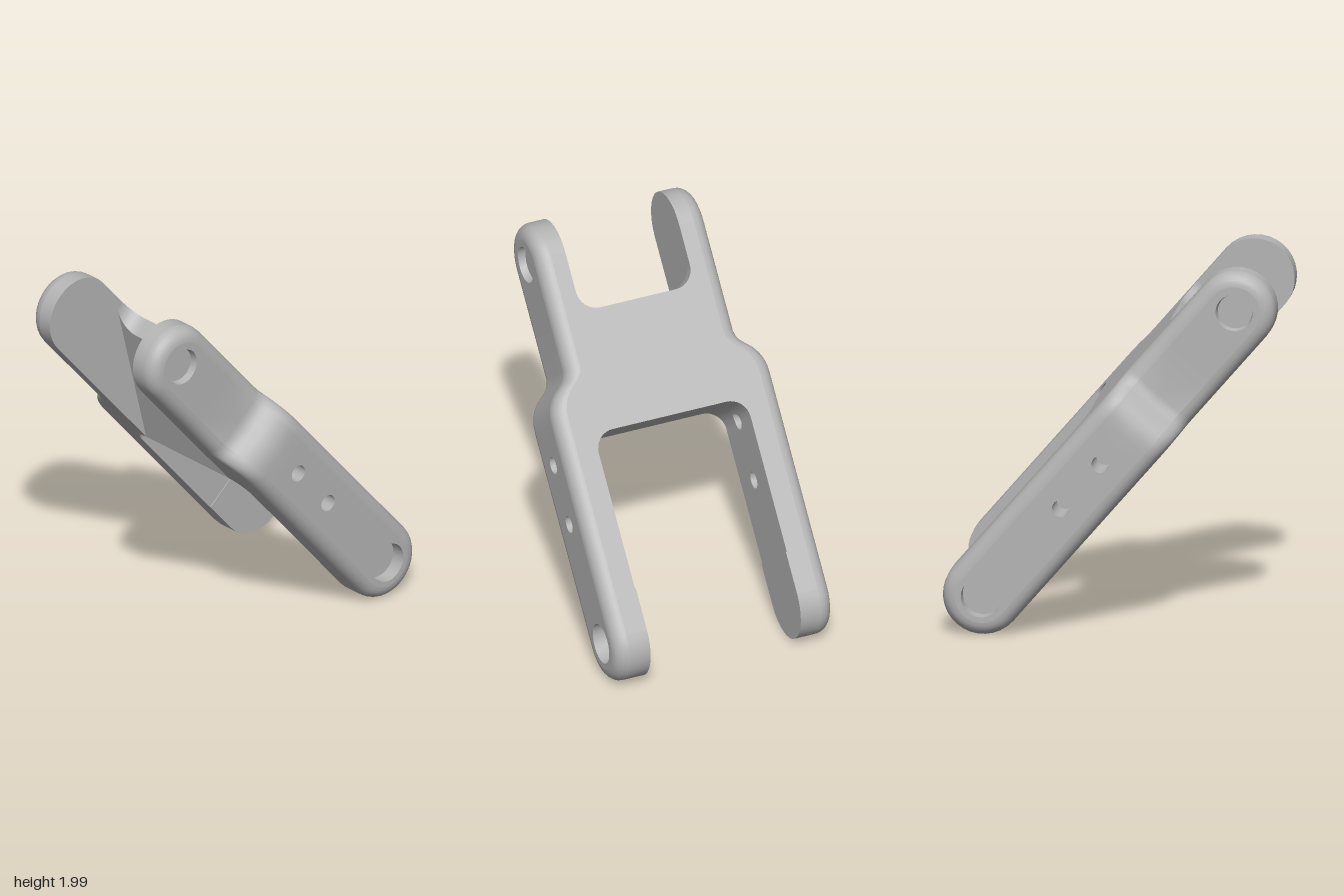
import * as THREE from 'three';
import { mergeGeometries, toCreasedNormals } from 'three/addons/utils/BufferGeometryUtils.js';

// Local frame: y runs along the link, x across its thickness, z to the side.
const L = 1.03, R = 0.215, EDGE = 0.075;       // pivot half distance, end radius, edge rounding
const FORK = 0.053, SLOT = 0.70, F = 0.11;     // floors of the lower and upper slots, corner fillet
const ARC = 16;
const SHOULDER = [[0.15, 0.63], [0.20, 0.627], [0.24, 0.617], [0.275, 0.60], [0.31, 0.573],
  [0.345, 0.533], [0.365, 0.512], [0.39, 0.497], [0.42, 0.49]];
const BOLTS = [{ c: -0.046, r: 0.047 }, { c: -0.372, r: 0.047 }];
const PIVOTS = [{ c: -1.03, r: 0.11, floor: 0.11, depth: 0.08 }, { c: 1.03, r: 0.10, floor: 0.093, depth: 0.04 }];

// Outer side height along the link, stepping in at the shoulder
function outerZ(y) {
  if (y <= SHOULDER[0][0]) return SHOULDER[0][1];
  for (let i = 1; i < SHOULDER.length; i++) {
    const [y0, z0] = SHOULDER[i - 1], [y1, z1] = SHOULDER[i];
    if (y <= y1) return z0 + (z1 - z0) * (y - y0) / (y1 - y0);
  }
  return 0.49;
}
// Inner faces of the lower fork arm and the upper slot arm
function lowerZ(y) {
  if (y < -0.8) return 0.435;
  if (y <= FORK - F) return 0.44;
  return 0.33 + Math.sqrt(Math.max(0, F * F - (y - FORK + F) ** 2));
}
function upperZ(y) {
  if (y >= SLOT + F) return 0.33;
  return 0.33 - F + Math.sqrt(Math.max(0, F * F - (SLOT + F - y) ** 2));
}
const slant = (y) => -R + (y - FORK) * 0.502;   // sloping underside of the web
const halfWidth = (y, rho) => {
  const d = Math.max(0, Math.abs(y) - L);
  return Math.sqrt(Math.max(0, rho * rho - d * d));
};
const gap = (y, holes) => holes.reduce((g, h) =>
  Math.max(g, Math.sqrt(Math.max(0, h.r * h.r - (y - h.c) ** 2))), 0);

const steps = (n, f) => Array.from({ length: n + 1 }, (_, i) => f(i / n));
const sorted = (list) => [...new Set(list.map((v) => Math.round(v * 1e6) / 1e6))].sort((a, b) => a - b);
const holeColumns = (holes) => holes.flatMap((h) => steps(12, (k) => h.c - h.r * Math.cos(k * Math.PI)));
const endColumns = (rho) => steps(ARC / 2, (k) => L + rho * Math.sin(k * Math.PI / 2));

// Surface through rows of points; each triangle is turned towards the given direction
function sheet(rows, facing) {
  const pos = [], a = new THREE.Vector3(), b = new THREE.Vector3(), c = new THREE.Vector3();
  const tri = (p, q, s) => {
    a.set(...p); b.set(...q).sub(a); c.set(...s).sub(a);
    const n = b.clone().cross(c);
    if (n.length() < 1e-9) return;
    const d = typeof facing === 'function' ? facing(p) : facing;
    if (n.dot(new THREE.Vector3(...d)) < 0) pos.push(...p, ...s, ...q);
    else pos.push(...p, ...q, ...s);
  };
  for (let i = 0; i + 1 < rows.length; i++) {
    for (let j = 0; j + 1 < rows[i].length; j++) {
      tri(rows[i][j], rows[i + 1][j], rows[i + 1][j + 1]);
      tri(rows[i][j], rows[i + 1][j + 1], rows[i][j + 1]);
    }
  }
  const g = new THREE.BufferGeometry();
  g.setAttribute('position', new THREE.Float32BufferAttribute(pos, 3));
  return toCreasedNormals(g, 0.7);
}
const strip = (path, lo, hi, facing) =>
  sheet(path.map(([y, z]) => [[lo(y), y, z], [hi(y), y, z]]), facing);
const pierced = (path, rho, holes, facing) => [-1, 1].map((s) =>
  strip(path, (y) => s * gap(y, holes), (y) => s * halfWidth(y, rho), facing));

// Columns shared by the faces along the straight sides
const lowFillet = steps(8, (k) => FORK - F + F * Math.sin(k * Math.PI / 2));
const upFillet = steps(8, (k) => SLOT + F - F * Math.cos(k * Math.PI / 2));
const straight = sorted([-L, L, -0.8001, -0.8, ...lowFillet, ...upFillet, ...SHOULDER.map((p) => p[0])]);

// Outline of the link at a given radius
function outline(rho) {
  const arc = (cy, from) => steps(ARC, (k) => {
    const t = from + k * Math.PI;
    return [rho * Math.cos(t), cy + rho * Math.sin(t)];
  });
  return [...straight.map((y) => [rho, y]), ...arc(L, 0),
    ...[...straight].reverse().map((y) => [-rho, y]), ...arc(-L, Math.PI)];
}

// Rounded outer edge and pierced outer face
function armShell() {
  const rings = steps(6, (k) => {
    const t = k * Math.PI / 2;
    return outline(R - EDGE + EDGE * Math.cos(t))
      .map(([x, y]) => [x, y, outerZ(y) - EDGE + EDGE * Math.sin(t)]);
  });
  const holes = [...BOLTS, ...PIVOTS], ends = endColumns(R - EDGE);
  const cols = sorted([...straight, ...ends, ...ends.map((y) => -y), ...holeColumns(holes)]);
  return [sheet(rings, (p) => [p[0], p[1] - Math.max(-L, Math.min(L, p[1])), 0.3]),
    ...pierced(cols.map((y) => [y, outerZ(y)]), R - EDGE, holes, [0, 0, 1])];
}

// Flat sides of the link and its round arm ends
function sideWalls() {
  const wall = (x, cols) => sheet(cols.map(([y, z]) => [[x, y, z], [x, y, outerZ(y) - EDGE]]), [x, 0, 0]);
  const low = straight.filter((y) => y <= FORK + 1e-5).map((y) => [y, lowerZ(y)]);
  const mid = straight.filter((y) => y >= FORK - 1e-5 && y <= SLOT + 1e-5).map((y) => [y, 0]);
  const up = straight.filter((y) => y >= SLOT - 1e-5).map((y) => [y, upperZ(y)]);
  const back = straight.filter((y) => y >= FORK - 1e-5).map((y) => [y, 0.33]);
  const end = (s, zi) => sheet(steps(ARC, (k) => {
    const x = R * Math.cos(k * Math.PI), y = s * (L + R * Math.sin(k * Math.PI));
    return [[x, y, zi], [x, y, outerZ(y) - EDGE]];
  }), (p) => [p[0], p[1] - s * L, 0]);
  return [wall(R, low), wall(R, mid), wall(R, up), wall(-R, low), wall(-R, back),
    end(-1, 0.435), end(1, 0.33)];
}

// Inner arm faces with their fillets into the web
function innerFaces() {
  const ends = endColumns(R);
  const low = sorted([...ends.map((y) => -y), ...straight, ...holeColumns(BOLTS)]).filter((y) => y <= FORK + 1e-5);
  const tip = sorted([SLOT + F, ...ends]);
  return [...pierced(low.map((y) => [y, lowerZ(y)]), R, BOLTS, [0, -1, -1]),
    strip(tip.map((y) => [y, 0.33]), (y) => -halfWidth(y, R), (y) => halfWidth(y, R), [0, 0, -1]),
    strip([[FORK, 0.33], [SLOT + F, 0.33]], () => -R, slant, [0, 0, -1]),
    strip(upFillet.map((y) => [y, upperZ(y)]), slant, () => R, [0, 1, -1])];
}

// Slot floors and sloping underside of the wedge-shaped web
function web() {
  const under = (cols, zi) => sheet(cols.map((y) => [[slant(y), y, zi(y)], [slant(y), y, 0.33]]), [-1, 0.5, 0]);
  return [strip([[FORK, 0.33], [FORK, 0]], () => -R, () => R, [0, -1, 0]),
    strip([[SLOT, 0.33 - F], [SLOT, 0]], slant, () => R, [0, 1, 0]),
    under([FORK, SLOT], () => 0), under(upFillet, upperZ)];
}

// Bolt holes right through and shallow pivot recesses
function holeWalls() {
  const around = (h, r, z) => steps(24, (k) => {
    const t = k * Math.PI * 2, y = h.c - r * Math.cos(t);
    return [r * Math.sin(t), y, z(y)];
  });
  const inward = (h) => (p) => [-p[0], h.c - p[1], 0];
  const bolts = BOLTS.map((h) => sheet([around(h, h.r, lowerZ), around(h, h.r, outerZ)], inward(h)));
  const pivots = PIVOTS.flatMap((h) => {
    const floorZ = (y) => outerZ(y) - h.depth;
    const base = around(h, h.floor, floorZ);
    return [sheet([base, around(h, h.r, outerZ)], inward(h)),
      sheet([base, base.map(() => [0, h.c, floorZ(h.c)])], [0, 0, 1])];
  });
  return [...bolts, ...pivots];
}

export function createModel() {
  const metal = new THREE.MeshStandardMaterial({ color: 0xb4b4b4, side: THREE.DoubleSide });
  metal.name = 'grey metal';
  const parts = { armShell, sideWalls, innerFaces, web, holeWalls };
  const link = new THREE.Group();
  link.name = 'forkedLink';
  for (const side of [1, -1]) {
    const half = new THREE.Group();
    half.name = side > 0 ? 'frontHalf' : 'backHalf';
    for (const [name, build] of Object.entries(parts)) {
      const mesh = new THREE.Mesh(mergeGeometries(build()), metal);
      mesh.name = name;
      half.add(mesh);
    }
    half.scale.z = side;
    link.add(half);
  }
  link.rotation.z = Math.atan2(0.65, 0.76);
  link.position.y = 0.998;
  const model = new THREE.Group();
  model.name = 'linkArm';
  model.add(link);
  return model;
}
